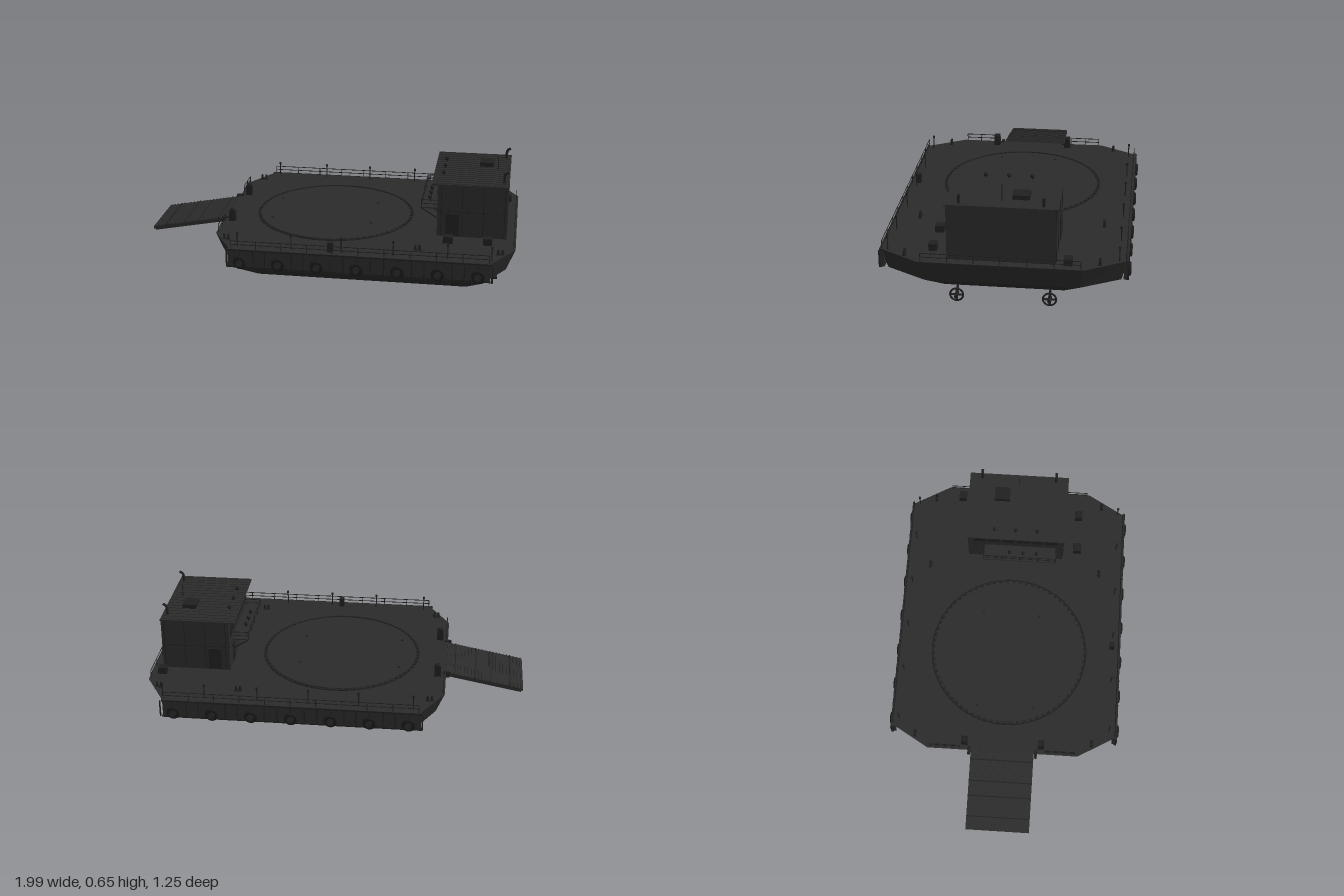
import * as THREE from 'three';

const mat = (name, color) => {
  const m = new THREE.MeshStandardMaterial({ color });
  m.name = name;
  return m;
};

export function createModel() {
  const root = new THREE.Group();
  root.name = 'rampBarge';
  const steel = mat('charcoalSteel', 0x2b2b2b);
  const dark = mat('darkFittings', 0x202020);
  const rubber = mat('blackRubber', 0x1b1b1b);
  const glass = mat('darkGlass', 0x1e1f20);
  steel.side = THREE.DoubleSide;

  const add = (name, geo, m, x = 0, y = 0, z = 0, parent = root) => {
    const o = new THREE.Mesh(geo, m);
    o.name = name;
    o.position.set(x, y, z);
    parent.add(o);
    return o;
  };
  const box = (name, w, h, d, x, y, z, m = steel, parent = root) =>
    add(name, new THREE.BoxGeometry(w, h, d), m, x, y, z, parent);
  const cyl = (name, r, h, x, y, z, m = dark, parent = root, seg = 10) =>
    add(name, new THREE.CylinderGeometry(r, r, h, seg), m, x, y, z, parent);
  const bar = (name, a, b, r, m = dark, parent = root) => {
    const p = new THREE.Vector3(...a), q = new THREE.Vector3(...b);
    const o = cyl(name, r, p.distanceTo(q), 0, 0, 0, m, parent, 5);
    o.position.copy(p).lerp(q, 0.5);
    o.quaternion.setFromUnitVectors(new THREE.Vector3(0, 1, 0), q.sub(p).normalize());
    return o;
  };

  // Hull: octagonal sections at keel, knuckle and deck
  const section = (y, x0, x1, z, cx, cz) => [
    [x0, y, cz], [x0 + cx, y, z], [x1 - cx, y, z], [x1, y, cz],
    [x1, y, -cz], [x1 - cx, y, -z], [x0 + cx, y, -z], [x0, y, -cz]];
  const levels = [
    section(0.065, -0.42, 0.83, 0.44, 0.08, 0.3),
    section(0.15, -0.53, 0.95, 0.58, 0.11, 0.38),
    section(0.27, -0.575, 0.995, 0.61, 0.12, 0.405)];
  const pos = [];
  const tri = (a, b, c) => pos.push(...a, ...b, ...c);
  for (let l = 0; l < 2; l++) {
    for (let i = 0; i < 8; i++) {
      const j = (i + 1) % 8, a = levels[l], b = levels[l + 1];
      tri(a[i], a[j], b[j]);
      tri(a[i], b[j], b[i]);
    }
  }
  for (let i = 1; i < 7; i++) {
    tri(levels[2][0], levels[2][i], levels[2][i + 1]);
    tri(levels[0][0], levels[0][i + 1], levels[0][i]);
  }
  const hullGeo = new THREE.BufferGeometry();
  hullGeo.setAttribute('position', new THREE.Float32BufferAttribute(pos, 3));
  hullGeo.computeVertexNormals();
  add('hull', hullGeo, steel);

  // Side fender belts with ribs and tyres
  const tyreX = [-0.4, -0.2, 0, 0.205, 0.413, 0.616, 0.818];
  const tyreGeo = new THREE.TorusGeometry(0.026, 0.01, 8, 20);
  for (const s of [1, -1]) {
    box('fenderBelt', 1.34, 0.1, 0.02, 0.205, 0.22, s * 0.602);
    for (const y of [0.174, 0.266]) box('rubRail', 1.35, 0.008, 0.012, 0.205, y, s * 0.609, dark);
    for (const x of tyreX) {
      add('tyreFender', tyreGeo, rubber, x, 0.2, s * 0.617);
      bar('tyreChain', [x, 0.23, s * 0.615], [x, 0.268, s * 0.613], 0.003);
      for (const d of [-0.07, 0.07]) box('fenderRib', 0.006, 0.09, 0.008, x + d, 0.22, s * 0.613, dark);
    }
  }

  // Railings with two bars
  const rail = (x0, z0, x1, z1) => {
    const g = new THREE.Group();
    g.name = 'railing';
    root.add(g);
    const n = Math.max(2, Math.round(Math.hypot(x1 - x0, z1 - z0) / 0.13));
    for (let i = 0; i <= n; i++) {
      const x = x0 + (x1 - x0) * i / n, z = z0 + (z1 - z0) * i / n;
      bar('railPost', [x, 0.27, z], [x, 0.312, z], 0.0022, dark, g);
    }
    for (const y of [0.292, 0.312]) bar('railBar', [x0, y, z0], [x1, y, z1], 0.0022, dark, g);
  };
  for (const s of [1, -1]) {
    rail(-0.45, s * 0.602, 0.87, s * 0.602);
    rail(-0.565, s * 0.23, -0.565, s * 0.39);
  }
  rail(0.985, -0.39, 0.985, 0.39);

  // Turntable ring on the deck
  cyl('turntable', 0.41, 0.006, 0.005, 0.272, 0, steel, root, 64);
  const ring = add('turntableRing', new THREE.TorusGeometry(0.425, 0.004, 6, 72), dark, 0.005, 0.272, 0);
  ring.rotation.x = Math.PI / 2;
  for (let i = 0; i < 72; i++) {
    const a = i * Math.PI / 36;
    box('ringBlock', 0.012, 0.006, 0.016, 0.005 + Math.cos(a) * 0.417, 0.275, Math.sin(a) * 0.417, dark)
      .rotation.y = -a;
  }
  for (const x of [-0.32, 0.22]) for (const z of [-0.155, 0.155]) cyl('lashingPoint', 0.006, 0.006, x, 0.277, z);

  // Loading ramp with treads, hinged at the bow
  const ramp = new THREE.Group();
  ramp.name = 'ramp';
  ramp.position.set(-0.565, 0.264, 0);
  ramp.rotation.z = 0.187;
  root.add(ramp);
  box('rampPlate', 0.43, 0.012, 0.34, -0.217, 0, 0, steel, ramp);
  for (const z of [-0.164, -0.055, 0.055, 0.164]) box('rampBeam', 0.42, 0.014, 0.012, -0.215, -0.008, z, steel, ramp);
  for (let i = 0; i < 22; i++) box('rampTread', 0.006, 0.005, 0.335, -0.012 - i * 0.0195, 0.008, 0, steel, ramp);
  for (const x of [-0.055, -0.17, -0.25, -0.36]) box('rampSeam', 0.005, 0.007, 0.34, x, 0.0075, 0, dark, ramp);
  for (const s of [1, -1]) {
    box('winchBase', 0.035, 0.04, 0.035, -0.53, 0.29, s * 0.207, dark);
    cyl('winchDrum', 0.018, 0.03, -0.53, 0.318, s * 0.207).rotation.x = Math.PI / 2;
    box('hingeCheek', 0.04, 0.03, 0.015, -0.575, 0.262, s * 0.18, dark);
  }

  // Deckhouse
  const house = new THREE.Group();
  house.name = 'deckhouse';
  root.add(house);
  box('houseWalls', 0.365, 0.285, 0.532, 0.7625, 0.4125, 0, steel, house);
  box('roof', 0.4, 0.008, 0.55, 0.747, 0.555, 0, steel, house);
  for (let i = 0; i < 17; i++) box('roofRib', 0.39, 0.003, 0.006, 0.747, 0.56, -0.26 + i * 0.0325, steel, house);
  for (const s of [1, -1]) {
    for (let i = 0; i < 4; i++) box('wallSeam', 0.004, 0.27, 0.004, 0.6 + i * 0.11, 0.41, s * 0.267, dark, house);
    box('wallBelt', 0.365, 0.004, 0.004, 0.7625, 0.41, s * 0.267, dark, house);
    box('sideDoor', 0.07, 0.12, 0.005, 0.66, 0.335, s * 0.267, dark, house);
  }
  box('frontBelt', 0.004, 0.004, 0.53, 0.579, 0.405, 0, dark, house);
  for (let i = 0; i < 6; i++) box('window', 0.005, 0.055, 0.066, 0.579, 0.485, -0.2 + i * 0.08, glass, house);
  for (const z of [-0.15, 0.15]) box('frontDoor', 0.005, 0.11, 0.06, 0.579, 0.33, z, dark, house);

  // Roof equipment
  box('roofHatch', 0.075, 0.024, 0.085, 0.818, 0.57, -0.088, dark, house);
  for (const z of [-0.117, 0, 0.117]) {
    cyl('lampStem', 0.004, 0.015, 0.6, 0.564, z, dark, house);
    add('roofLamp', new THREE.SphereGeometry(0.011, 10, 8), dark, 0.6, 0.574, z, house);
  }
  bar('antenna', [0.88, 0.555, 0], [0.88, 0.647, 0], 0.0025, dark, house);
  for (const z of [-0.205, 0.205]) {
    const path = new THREE.CatmullRomCurve3([[0.92, 0.555], [0.92, 0.59], [0.925, 0.608], [0.942, 0.619]]
      .map(([x, y]) => new THREE.Vector3(x, y, z)));
    add('exhaustPipe', new THREE.TubeGeometry(path, 12, 0.007, 8), dark, 0, 0, 0, house).material = dark;
  }

  // Bridge balcony with braces, rails and searchlights
  box('balconyFloor', 0.09, 0.006, 0.405, 0.535, 0.41, 0.027, steel, house);
  for (const y of [0.432, 0.453]) {
    bar('balconyRail', [0.494, y, -0.173], [0.494, y, 0.227], 0.0022, dark, house);
    for (const z of [-0.173, 0.227]) bar('balconyRail', [0.494, y, z], [0.58, y, z], 0.0022, dark, house);
  }
  for (let i = 0; i < 5; i++) {
    const z = -0.173 + i * 0.1;
    bar('balconyPost', [0.494, 0.41, z], [0.494, 0.455, z], 0.0025, dark, house);
    bar('balconyBrace', [0.494, 0.408, z], [0.582, 0.352, z], 0.004, dark, house);
  }
  for (const z of [-0.03, 0.045, 0.12]) {
    add('searchlight', new THREE.SphereGeometry(0.011, 10, 8), dark, 0.53, 0.432, z, house);
    cyl('searchlightStem', 0.004, 0.02, 0.53, 0.42, z, dark, house);
  }

  // Deck lockers
  for (const [x, z, w, h] of [[0.935, -0.325, 0.046, 0.036], [0.645, 0.348, 0.05, 0.036],
    [0.85, 0.348, 0.046, 0.036], [0.063, 0.567, 0.028, 0.05]]) {
    box('deckLocker', w, h, w * 0.9, x, 0.27 + h / 2, z, dark);
  }

  // Bollard pairs and lamp posts, mirrored
  for (const s of [1, -1]) {
    for (const x of [-0.5, 0.5, 0.92]) {
      box('bollardBase', 0.04, 0.005, 0.018, x, 0.272, s * 0.478, dark);
      for (const d of [-0.011, 0.011]) cyl('bollard', 0.006, 0.027, x + d, 0.284, s * 0.478);
    }
    for (const x of [-0.42, -0.14, 0.12, 0.385, 0.66, 0.88]) {
      cyl('lampPost', 0.003, 0.075, x, 0.307, s * 0.57);
      cyl('lampHead', 0.006, 0.012, x, 0.343, s * 0.57);
    }
  }

  // Ducted propellers under the stern
  for (const z of [-0.232, 0.232]) {
    const drive = new THREE.Group();
    drive.name = 'propeller';
    drive.position.set(0.88, 0.038, z);
    root.add(drive);
    add('nozzle', new THREE.TorusGeometry(0.033, 0.005, 8, 24), dark, 0, 0, 0, drive).rotation.y = Math.PI / 2;
    cyl('hub', 0.01, 0.05, 0, 0, 0, dark, drive).rotation.z = Math.PI / 2;
    for (let i = 0; i < 4; i++) {
      const arm = new THREE.Group();
      arm.rotation.x = i * Math.PI / 2;
      drive.add(arm);
      box('blade', 0.005, 0.032, 0.011, 0, 0.017, 0, dark, arm).rotation.y = 0.5;
    }
    bar('driveShaft', [-0.02, 0, 0], [-0.06, 0.05, 0], 0.006, dark, drive);
  }
  return root;
}
